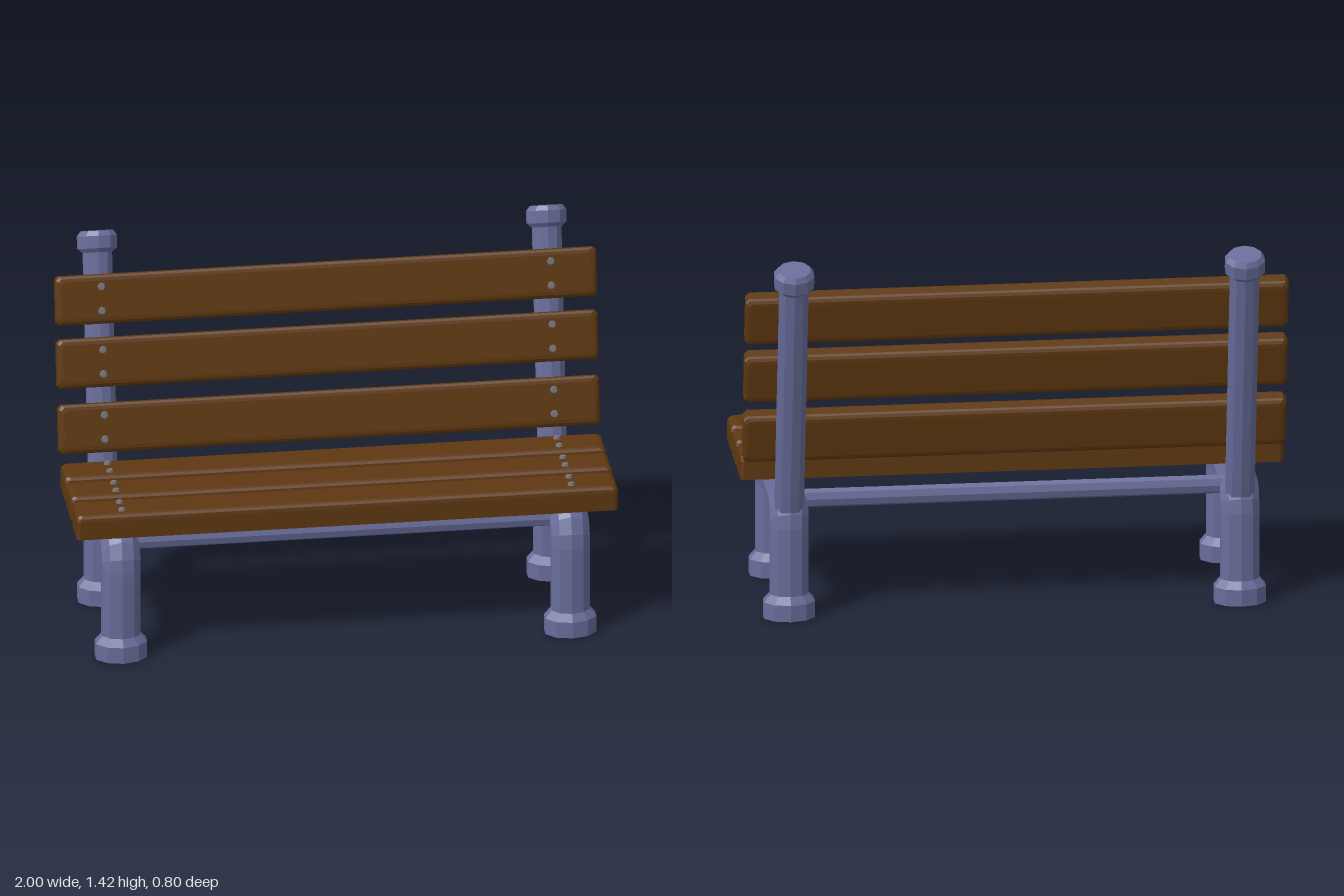
import * as THREE from 'three';

// Round parts are squashed: taller in y, narrower in z
const SY = 1.12, SZ = 0.72, TILT = 0.28, SIDE_X = 0.83;

export function createModel() {
  const model = new THREE.Group();
  model.name = 'bench';
  const metal = new THREE.MeshStandardMaterial({ color: 0x686d9a, flatShading: true, side: THREE.DoubleSide });
  metal.name = 'blueGreyMetal';
  const wood = new THREE.MeshStandardMaterial({ color: 0x5e3811, flatShading: true });
  wood.name = 'brownWood';
  const steel = new THREE.MeshStandardMaterial({ color: 0x74747a, flatShading: true });
  steel.name = 'greySteel';

  // Squash a part, then put its origin at x, y, z
  function add(name, geometry, material, x, y, z) {
    geometry.scale(1, SY, SZ).translate(x, y, z);
    const mesh = new THREE.Mesh(geometry, material);
    mesh.name = name;
    model.add(mesh);
    return mesh;
  }
  const lathe = (pts) => new THREE.LatheGeometry(pts.map(([r, y]) => new THREE.Vector2(r, y)), 10);

  // Plank with corners cut, rounded top edges and optionally rounded bottom edges
  function plank(length, width, height, roundBottom) {
    const r = 0.022, steps = 3, levels = [];
    const inset = (a) => r * (1 - Math.cos(a));
    if (roundBottom) {
      for (let i = steps; i >= 0; i--) {
        const a = (i / steps) * Math.PI / 2;
        levels.push([inset(a), -height / 2 + r - r * Math.sin(a)]);
      }
    } else levels.push([0, -height / 2]);
    for (let i = 0; i <= steps; i++) {
      const a = (i / steps) * Math.PI / 2;
      levels.push([inset(a), height / 2 - r + r * Math.sin(a)]);
    }
    const rings = levels.map(([d, y]) => {
      const x = length / 2 - d, z = width / 2 - d, c = 0.012;
      return [[x, z - c], [x - c, z], [c - x, z], [-x, z - c], [-x, c - z], [c - x, -z], [x - c, -z], [x, c - z]]
        .map(([px, pz]) => [px, y, pz]);
    });
    const pos = [];
    const tri = (a, b, c) => pos.push(...a, ...b, ...c);
    for (let k = 0; k < rings.length - 1; k++) {
      for (let i = 0; i < 8; i++) {
        const j = (i + 1) % 8, lo = rings[k], hi = rings[k + 1];
        tri(lo[i], hi[i], hi[j]);
        tri(lo[i], hi[j], lo[j]);
      }
    }
    const bottom = rings[0], top = rings[rings.length - 1];
    for (let i = 1; i < 7; i++) {
      tri(bottom[0], bottom[i], bottom[i + 1]);
      tri(top[0], top[i + 1], top[i]);
    }
    const g = new THREE.BufferGeometry();
    g.setAttribute('position', new THREE.Float32BufferAttribute(pos, 3));
    g.computeVertexNormals();
    return g;
  }
  const screw = () => new THREE.CylinderGeometry(0.011, 0.017, 0.016, 8);

  // Leg frame path: up the front leg, along the seat beam, down the rear leg
  const P = (y, z) => new THREE.Vector3(0, y / SY, z / SZ);
  const front = 0.3275, rear = -0.163, beamY = 0.425;
  const path = new THREE.CurvePath();
  path.add(new THREE.LineCurve3(P(0.05, front), P(0.335, front)));
  path.add(new THREE.QuadraticBezierCurve3(P(0.335, front), P(beamY, front), P(beamY, front - 0.058)));
  path.add(new THREE.LineCurve3(P(beamY, front - 0.058), P(beamY, rear + 0.058)));
  path.add(new THREE.QuadraticBezierCurve3(P(beamY, rear + 0.058), P(beamY, rear), P(0.335, rear)));
  path.add(new THREE.LineCurve3(P(0.335, rear), P(0.05, rear)));

  for (const side of [1, -1]) {
    const tag = side > 0 ? 'left' : 'right', x = side * SIDE_X;
    add(tag + 'LegFrame', new THREE.TubeGeometry(path, 44, 0.0745, 10, false), metal, x, 0, 0);

    // Hollow feet
    for (const [name, z] of [['FrontFoot', front], ['RearFoot', rear]]) {
      add(tag + name, lathe([[0.099, 0], [0.099, 0.056], [0.074, 0.082]]), metal, x, 0, z);
    }

    // Leaning back post and its cap
    const postLength = 0.86;
    const post = new THREE.CylinderGeometry(0.056, 0.056, postLength, 10)
      .translate(0, postLength / 2, 0).rotateX(-TILT);
    add(tag + 'BackPost', post, metal, x, 0.40, -0.162);
    const cap = lathe([[0.054, -0.006], [0.076, 0.012], [0.076, 0.055], [0.062, 0.072], [0, 0.072]]).rotateX(-TILT);
    add(tag + 'PostCap', cap, metal, x, 1.327, -0.336);
  }

  // Cross rails between the leg frames
  for (const [name, z] of [['frontRail', 0.275], ['rearRail', -0.12]]) {
    add(name, new THREE.CylinderGeometry(0.032, 0.032, 2 * SIDE_X, 8).rotateZ(Math.PI / 2), metal, 0, 0.44, z);
  }

  // Seat slats with screws
  [0.32, 0.153, -0.015].forEach((z, i) => {
    add('seatSlat' + (i + 1), plank(2, 0.194, 0.085, false), wood, 0, 0.553, z);
    for (const side of [1, -1]) for (const dz of [-0.033, 0.033]) {
      add('seatScrew', screw(), steel, side * SIDE_X, 0.602, z + dz);
    }
  });

  // Back slats with screws
  [[0.70, -0.153], [0.945, -0.195], [1.182, -0.235]].forEach(([y, z], i) => {
    const slat = plank(2, 0.172, 0.086, true).rotateX(Math.PI / 2 - TILT);
    add('backSlat' + (i + 1), slat, wood, 0, y, z);
    for (const side of [1, -1]) for (const d of [-0.042, 0.042]) {
      const g = screw().translate(0, 0.045, d).rotateX(Math.PI / 2 - TILT);
      add('backScrew', g, steel, side * SIDE_X, y, z);
    }
  });
  return model;
}
